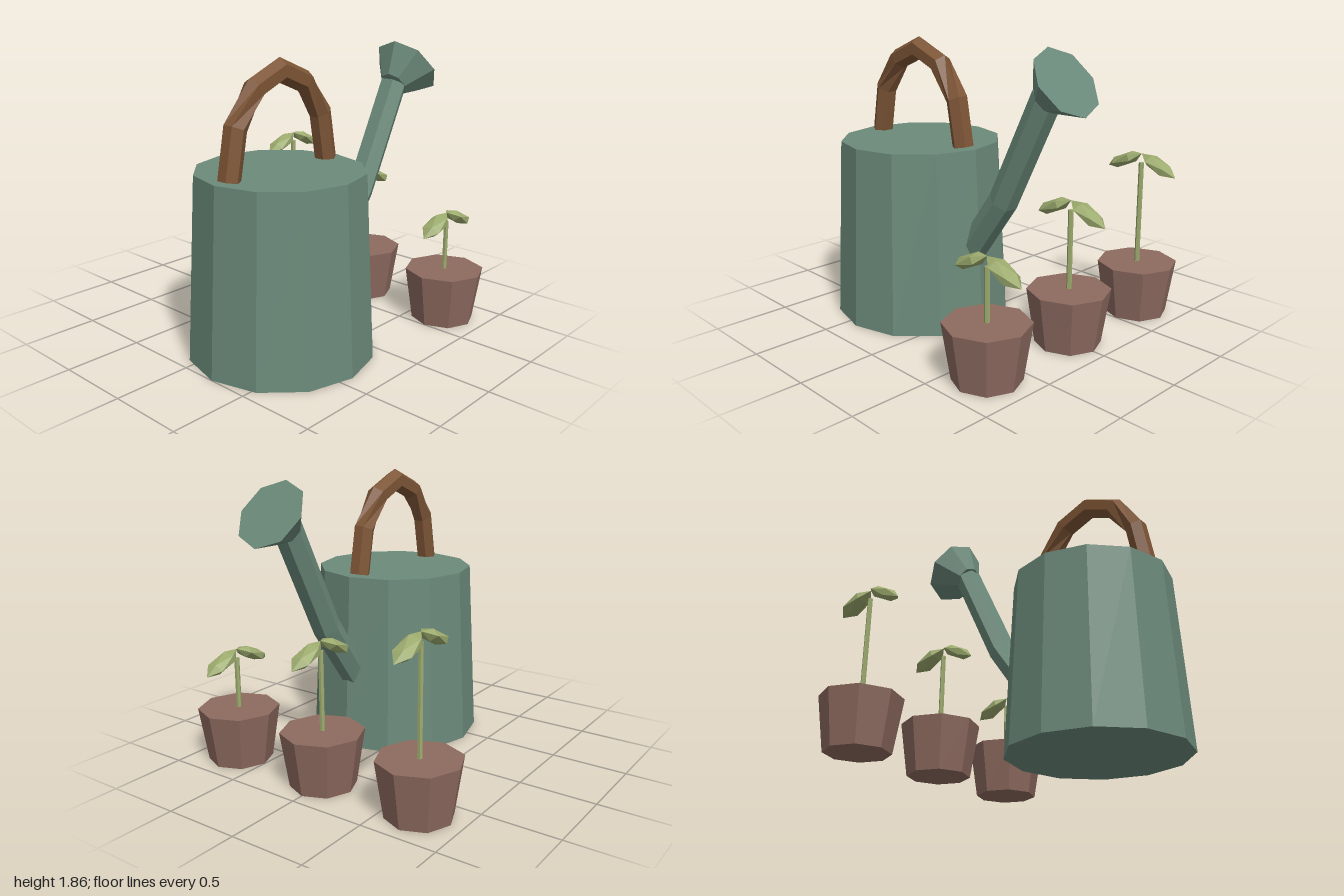
import * as THREE from 'three';

const paint = (name, color) => Object.assign(new THREE.MeshStandardMaterial({ color }), { name });

// Facet a geometry so every face is flat
function facet(geometry) {
  const g = geometry.index ? geometry.toNonIndexed() : geometry;
  g.computeVertexNormals();
  return g;
}

function add(parent, name, geometry, material, x = 0, y = 0, z = 0) {
  const mesh = new THREE.Mesh(facet(geometry), material);
  mesh.name = name;
  mesh.position.set(x, y, z);
  parent.add(mesh);
  return mesh;
}

// Capped, mitred tube along a path in the xy plane; twist gives each ring's turn
function facetedTube(path, radius, sides, twist) {
  const pts = path.map(([x, y]) => new THREE.Vector2(x, y));
  const last = pts.length - 1;
  const pos = [], idx = [];
  pts.forEach((p, i) => {
    const before = p.clone().sub(pts[Math.max(i - 1, 0)]).normalize();
    const after = pts[Math.min(i + 1, last)].clone().sub(p).normalize();
    const t = before.clone().add(after).normalize();
    const stretch = i === 0 || i === last ? 1 : 1 / t.dot(after);
    for (let j = 0; j < sides; j++) {
      const a = (j / sides) * Math.PI * 2 + twist(i);
      const n = Math.cos(a) * radius * stretch;
      pos.push(p.x - t.y * n, p.y + t.x * n, Math.sin(a) * radius);
    }
  });
  for (let i = 0; i < last; i++) {
    for (let j = 0; j < sides; j++) {
      const k = (j + 1) % sides;
      const a = i * sides + j, b = i * sides + k;
      idx.push(a, b, b + sides, a, b + sides, a + sides);
    }
  }
  const end = last * sides;
  for (let k = 1; k < sides - 1; k++) idx.push(0, k + 1, k, end, end + k, end + k + 1);
  const g = new THREE.BufferGeometry();
  g.setAttribute('position', new THREE.Float32BufferAttribute(pos, 3));
  g.setIndex(idx);
  return g;
}

export function createModel() {
  const model = new THREE.Group();
  model.name = 'wateringCanAndSeedlings';
  const green = paint('can green', 0x6b8a7a);
  const wood = paint('handle brown', 0x7d5536);
  const clay = paint('pot clay', 0x8d6a5f);
  const leafGreen = paint('leaf green', 0x9cab6e);

  // Watering can
  const can = new THREE.Group();
  can.name = 'wateringCan';
  can.position.z = 0.235;
  model.add(can);
  add(can, 'canBody', new THREE.CylinderGeometry(0.53, 0.59, 1.18, 12), green, -0.41, 0.59);

  // Arched handle, twisted at the shoulders
  const arch = [[-0.415, 1.18], [-0.36, 1.48], [-0.205, 1.69], [0, 1.775],
    [0.205, 1.69], [0.36, 1.48], [0.415, 1.18]];
  add(can, 'handle', facetedTube(arch, 0.07, 6,
    (i) => (i < 2 ? 0 : i < 5 ? 1 : 2) * Math.PI / 6 + Math.PI / 6), wood, -0.41);

  // Bent spout and flared rose
  add(can, 'spout', facetedTube([[0.06, 0.48], [0.365, 0.895], [0.71, 1.58]], 0.093, 6,
    () => Math.PI / 6), green);
  const rose = add(can, 'spoutRose', new THREE.CylinderGeometry(0.232, 0.098, 0.18, 8), green,
    0.779, 1.625);
  rose.rotation.z = -0.913;

  // Leaf: stretched icosahedron with its points along x
  const leaf = new THREE.IcosahedronGeometry(1, 0);
  leaf.rotateY(Math.atan2(1, (1 + Math.sqrt(5)) / 2));
  leaf.scale(0.146, 0.043, 0.075);
  leaf.rotateZ(-0.43);

  // Three potted seedlings, taller towards the back
  [[0.71, 0.69], [0, 0.865], [-0.71, 1.04]].forEach(([z, top]) => {
    const plant = new THREE.Group();
    plant.name = 'pottedSeedling';
    plant.position.set(0.71, 0, z);
    model.add(plant);
    add(plant, 'pot', new THREE.CylinderGeometry(0.265, 0.21, 0.355, 8), clay, 0, 0.1775);
    add(plant, 'stem', new THREE.CylinderGeometry(0.017, 0.017, top - 0.3, 6), leafGreen,
      0, (top + 0.3) / 2);
    for (const side of [1, -1]) {
      const mesh = add(plant, side > 0 ? 'leftLeaf' : 'rightLeaf', leaf.clone(), leafGreen,
        0.132 * side, top);
      if (side < 0) mesh.rotation.y = Math.PI;
    }
  });
  return model;
}
